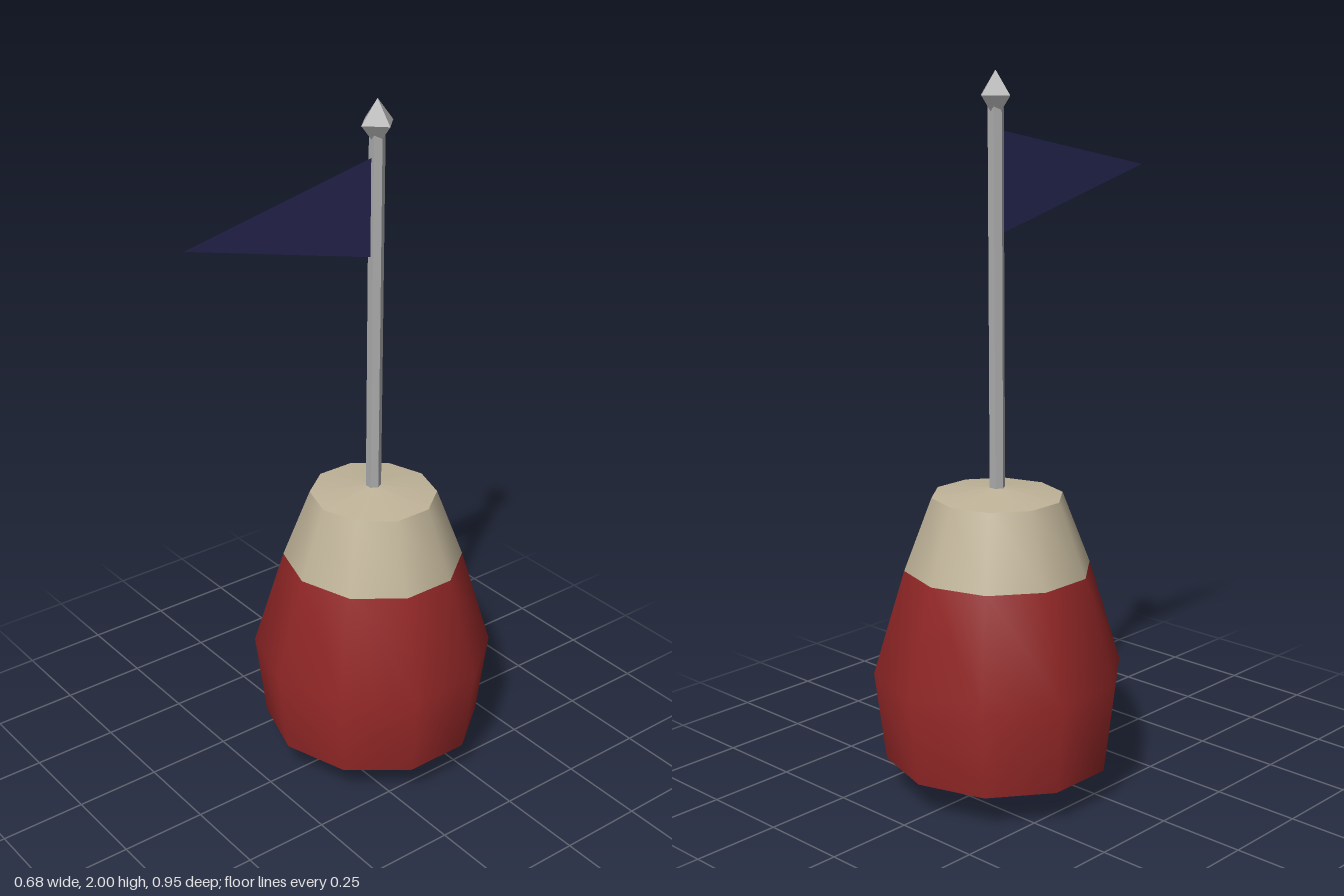
import * as THREE from 'three';

const AXIS_Z = -0.13; // buoy axis, set back so the pennant fits the centred bounds
const SIDES = 10;

const mat = (name, color, extra = {}) => {
  const m = new THREE.MeshStandardMaterial({ color, ...extra });
  m.name = name;
  return m;
};

export function createModel() {
  const red = mat('red paint', 0x932727);
  const cream = mat('cream paint', 0xc0b499);
  const metal = mat('grey metal', 0xacacac, { flatShading: true });
  const navy = mat('navy cloth', 0x272654, { side: THREE.DoubleSide });

  const model = new THREE.Group();
  model.name = 'markerBuoy';
  const buoy = new THREE.Group();
  buoy.name = 'buoy';
  buoy.position.z = AXIS_Z;
  model.add(buoy);

  const add = (name, geometry, material) => {
    const mesh = new THREE.Mesh(geometry, material);
    mesh.name = name;
    buoy.add(mesh);
    return mesh;
  };
  // Ten-sided turned shape, slightly wider in x than in z
  const turned = (points) =>
    new THREE.LatheGeometry(points.map(([r, y]) => new THREE.Vector2(r, y)), SIDES).scale(1.04, 1, 1);

  // Float body: one smooth surface, red below and cream above
  const body = turned([[0.314, 0.1], [0.345, 0.355], [0.257, 0.65], [0.18, 0.855]]);
  for (let i = 0; i < SIDES; i++) {
    body.addGroup(i * 18, 12, 0);
    body.addGroup(i * 18 + 12, 6, 1);
  }
  add('floatBody', body, [red, cream]);

  // Shallow cones closing the float
  add('floatBottom', turned([[0, 0], [0.314, 0.1]]), red);
  add('floatTop', turned([[0.18, 0.855], [0, 0.88]]), cream);

  // Hexagonal pole with a pointed finial
  const pole = new THREE.CylinderGeometry(0.022, 0.022, 1.05, 6).rotateY(Math.PI / 6);
  pole.translate(0, 1.385, 0);
  add('pole', pole, metal);
  const finial = new THREE.OctahedronGeometry(1).scale(0.053, 0.065, 0.053);
  finial.translate(0, 1.935, 0);
  add('finial', finial, metal);

  // Triangular pennant flying forward from the pole
  const cloth = new THREE.Shape([
    new THREE.Vector2(-0.015, 1.57),
    new THREE.Vector2(-0.605, 1.72),
    new THREE.Vector2(-0.015, 1.845),
  ]);
  add('pennant', new THREE.ShapeGeometry(cloth).rotateY(Math.PI / 2), navy);

  return model;
}
